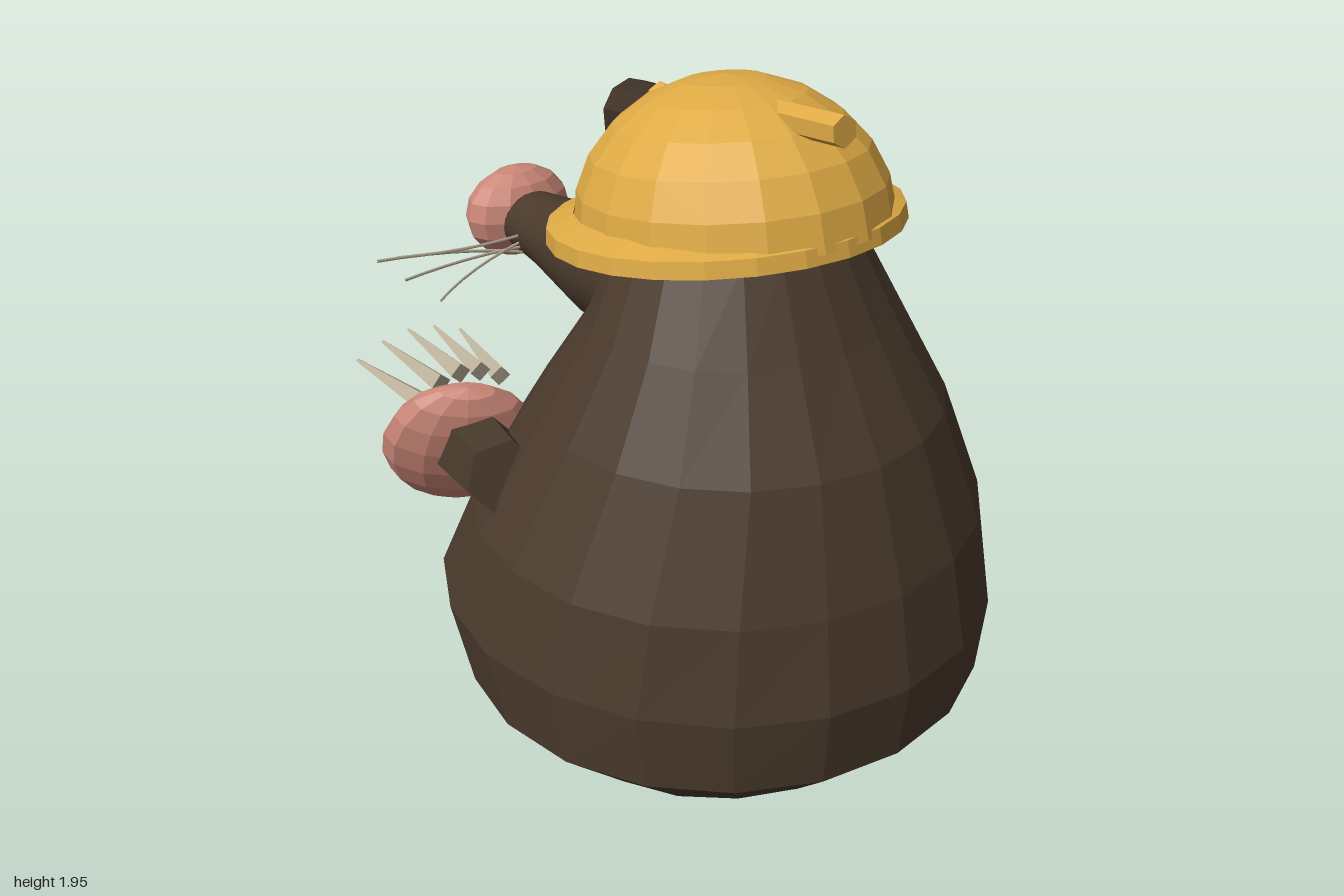
import * as THREE from 'three';

const mat = (name, color, side = THREE.FrontSide) => {
  const m = new THREE.MeshStandardMaterial({ color, side });
  m.name = name;
  return m;
};

// Faceted copy of a geometry
function facet(g) {
  const f = g.index ? g.toNonIndexed() : g;
  f.computeVertexNormals();
  return f;
}

// Closed skin over elliptical rings: [height, radiusX, centreZ, radiusZ]
function loft(rings, sides) {
  const n = rings.length - 1;
  const g = new THREE.CylinderGeometry(1, 1, 1, sides, n);
  const p = g.attributes.position;
  for (let i = 0; i < p.count; i++) {
    const [y, rx, cz, rz] = rings[Math.round((p.getY(i) + 0.5) * n)];
    p.setXYZ(i, p.getX(i) * rx, y, cz + p.getZ(i) * rz);
  }
  g.computeVertexNormals();
  return g;
}

const blob = (rx, ry, rz, w = 12, h = 8) => facet(new THREE.SphereGeometry(1, w, h).scale(rx, ry, rz));

// Tapered bar between two points
function bar(a, b, ra, rb, sides) {
  const from = new THREE.Vector3(...a), to = new THREE.Vector3(...b);
  const dir = to.clone().sub(from);
  const g = new THREE.CylinderGeometry(rb, ra, dir.length(), sides);
  g.applyQuaternion(new THREE.Quaternion().setFromUnitVectors(new THREE.Vector3(0, 1, 0), dir.normalize()));
  g.translate(...from.add(to).multiplyScalar(0.5).toArray());
  return facet(g);
}

export function createModel() {
  const fur = mat('brown fur', 0x4a3a2c);
  const dark = mat('dark brown', 0x3d3026);
  const yellow = mat('helmet yellow', 0xdeaa45, THREE.DoubleSide);
  const pink = mat('pink skin', 0xcb8778);
  const claw = mat('pale claw', 0xb8ae98);

  const model = new THREE.Group();
  model.name = 'mole';
  const add = (name, geo, material, pos = [0, 0, 0], parent = model) => {
    const m = new THREE.Mesh(geo, material);
    m.name = name;
    m.position.set(...pos);
    parent.add(m);
    return m;
  };

  // Pear-shaped body
  add('body', facet(loft([
    [0.05, 0.57, 0.29, 0.5],
    [0.22, 0.775, 0.21, 0.76],
    [0.45, 0.805, 0.167, 0.83],
    [0.72, 0.742, 0.22, 0.727],
    [1.06, 0.585, 0.275, 0.565],
    [1.32, 0.445, 0.29, 0.4],
    [1.56, 0.325, 0.255, 0.31],
    [1.72, 0.22, 0.25, 0.22],
  ], 20)), fur);
  add('tail', blob(0.17, 0.04, 0.09), fur, [0, 0.04, -0.2]);

  // Snout, lofted upright and laid forward
  add('snout', loft([
    [-0.15, 0.27, 1.33, 0.23],
    [0.1, 0.24, 1.31, 0.225],
    [0.3, 0.205, 1.275, 0.195],
    [0.6, 0.13, 1.245, 0.115],
    [0.8, 0.105, 1.245, 0.09],
  ], 24).rotateX(-Math.PI / 2), fur);
  add('nose', blob(0.185, 0.148, 0.115), pink, [0, 1.255, -0.855]);

  // Hard hat, tipped forward
  const helmet = new THREE.Group();
  helmet.name = 'helmet';
  helmet.position.set(0, 1.555, 0.2);
  helmet.rotation.x = -0.125;
  model.add(helmet);
  const dome = new THREE.SphereGeometry(1, 18, 6, 0, Math.PI * 2, 0, Math.PI / 2);
  add('helmetDome', facet(dome.scale(0.42, 0.39, 0.455)), yellow, [0, 0, 0.035], helmet);
  const rim = [[0.4, -0.025], [0.49, -0.025], [0.485, 0.02], [0.41, 0.05]].map(p => new THREE.Vector2(...p));
  add('helmetBrim', facet(new THREE.LatheGeometry(rim, 24)), yellow, [0, 0, 0], helmet);

  // Head lamp and cable clip
  add('lamp', bar([0, 1.755, -0.03], [0, 1.735, -0.225], 0.095, 0.1, 10), dark);
  add('lampLens', bar([0, 1.735, -0.223], [0, 1.734, -0.231], 0.09, 0.09, 10), yellow);
  add('lampBracket', bar([0, 1.8, 0.0], [0, 1.82, -0.1], 0.04, 0.04, 6), yellow);
  add('helmetClip', bar([0, 1.88, 0.34], [0, 1.908, 0.65], 0.042, 0.042, 6), yellow);

  for (const s of [1, -1]) {
    const side = s > 0 ? 'left' : 'right';

    // Face details
    add(side + 'Nostril', blob(0.026, 0.026, 0.03, 6, 4), dark, [s * 0.06, 1.24, -0.965]);
    add(side + 'Eye', blob(0.035, 0.035, 0.035, 8, 6), dark, [s * 0.12, 1.475, -0.15]);
    const tips = [[0.6, 1.28, -0.69], [0.54, 1.22, -0.64], [0.46, 1.15, -0.58], [0.53, 1.27, -0.7]];
    tips.forEach(([x, y, z], i) => {
      const root = new THREE.Vector3(s * 0.1, 1.19 + 0.02 * i, -0.67);
      const mid = new THREE.Vector3(s * 0.3, (y + 1.22) / 2, -0.695 + 0.01 * i);
      const path = new THREE.QuadraticBezierCurve3(root, mid, new THREE.Vector3(s * x, y, z));
      add(side + 'Whisker' + (i + 1), new THREE.TubeGeometry(path, 6, 0.005, 4), claw);
    });

    // Arm and broad tilted hand
    add(side + 'Arm', bar([s * 0.635, 0.885, 0.03], [s * 0.52, 0.79, -0.32], 0.108, 0.125, 6), fur);
    const hand = add(side + 'Hand', blob(0.235, 0.25, 0.1, 12, 9), pink, [s * 0.535, 0.79, -0.37]);
    hand.quaternion.setFromUnitVectors(
      new THREE.Vector3(0, 0, 1), new THREE.Vector3(s * 0.44, -0.4, 0.8).normalize());

    // Fan of digging claws
    for (let i = 0; i < 5; i++) {
      const t = i / 4;
      const lift = Math.sin(t * Math.PI) * 0.05;
      add(side + 'Claw' + (i + 1), bar(
        [s * (0.36 + 0.27 * t), 0.935 + lift, -0.42],
        [s * (0.32 + 0.36 * t), 0.97 + lift, -0.715], 0.033, 0.006, 4), claw);
    }

    // Foot
    const foot = add(side + 'Foot', blob(0.11, 0.055, 0.19), pink, [s * 0.35, 0.092, -0.25]);
    foot.rotation.set(0.2, -s * 0.35, 0, 'YXZ');
  }
  return model;
}
